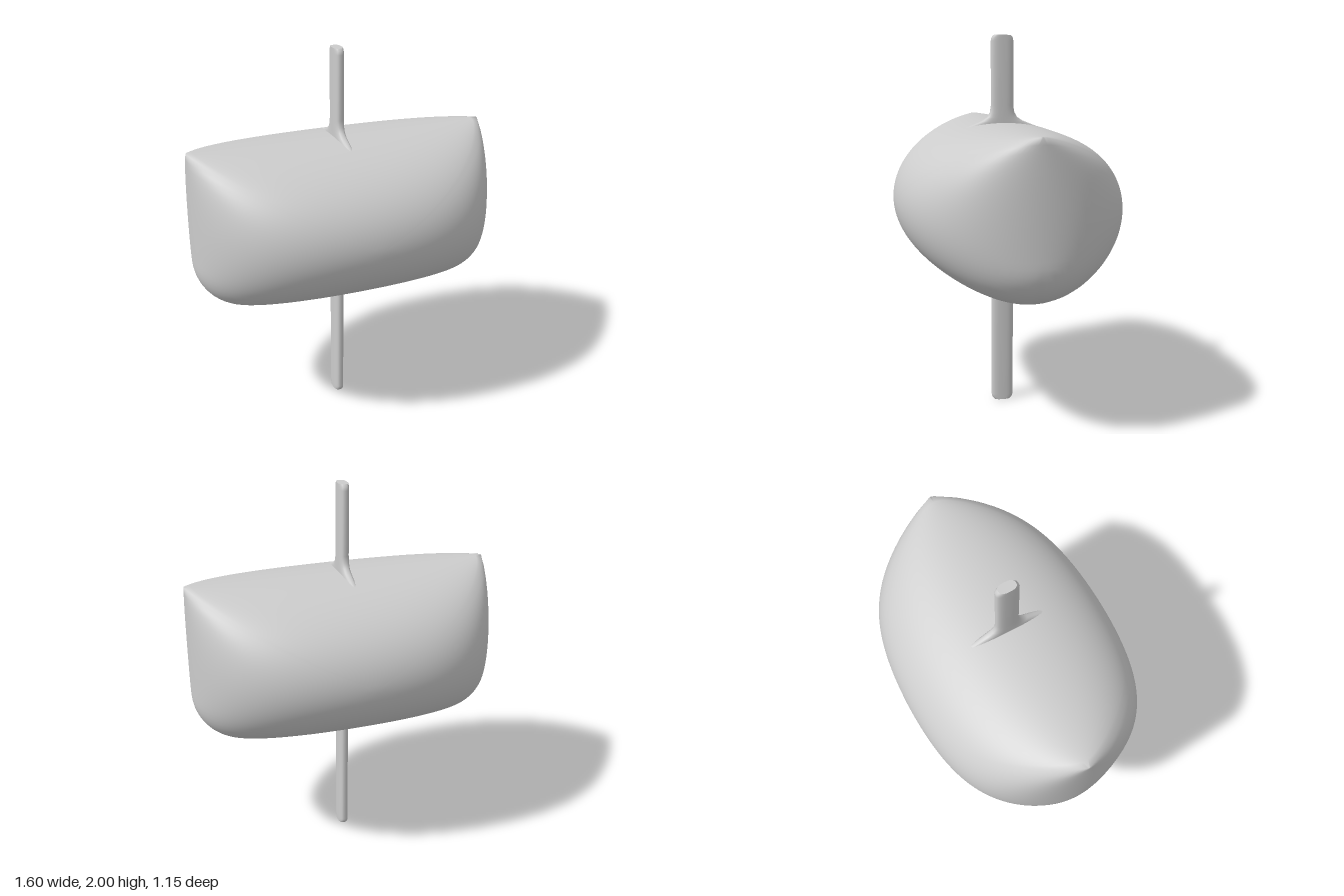
import * as THREE from 'three';

const TOP = 1.545, BOTTOM = 0.725, HALF_W = 0.802, CORNER = 0.215, DEPTH = 0.575;

// Counter-clockwise front outline: square top corners, rounded bottom corners
function outline() {
  const pts = [];
  const line = (x0, y0, x1, y1, n) => {
    for (let i = 0; i < n; i++) pts.push([x0 + (x1 - x0) * i / n, y0 + (y1 - y0) * i / n]);
  };
  const arc = (cx, cy, a0, n) => {
    for (let i = 0; i < n; i++) {
      const a = a0 + (Math.PI / 2) * i / n;
      pts.push([cx + CORNER * Math.cos(a), cy + CORNER * Math.sin(a)]);
    }
  };
  const ix = HALF_W - CORNER, iy = BOTTOM + CORNER;
  line(HALF_W, iy, HALF_W, TOP, 18);
  line(HALF_W, TOP, -HALF_W, TOP, 44);
  line(-HALF_W, TOP, -HALF_W, iy, 18);
  arc(-ix, iy, Math.PI, 10);
  line(-ix, BOTTOM, ix, BOTTOM, 32);
  arc(ix, iy, -Math.PI / 2, 10);
  return pts;
}

// Pillow body: the outline is inflated like a membrane under even pressure
function pillowGeometry() {
  const rim = outline(), M = rim.length, N = 30, cy = (TOP + BOTTOM) / 2;
  const p = [[0, cy]], tris = [];
  const id = (i, j) => (i === 0 ? 0 : 1 + (i - 1) * M + (j % M));
  for (let i = 1; i <= N; i++) {
    const r = Math.sin((Math.PI / 2) * i / N);
    for (const [x, y] of rim) p.push([x * r, cy + (y - cy) * r]);
  }
  for (let i = 0; i < N; i++) for (let j = 0; j < M; j++) {
    tris.push([id(i, j), id(i + 1, j), id(i + 1, j + 1)]);
    if (i > 0) tris.push([id(i, j), id(i + 1, j + 1), id(i, j + 1)]);
  }

  // Membrane weights between neighbouring points
  const inner = id(N, 0), load = new Float64Array(p.length), links = p.map(() => new Map());
  for (const t of tris) for (let k = 0; k < 3; k++) {
    const a = t[k], b = t[(k + 1) % 3], c = t[(k + 2) % 3];
    const ux = p[b][0] - p[a][0], uy = p[b][1] - p[a][1];
    const vx = p[c][0] - p[a][0], vy = p[c][1] - p[a][1];
    const cross = ux * vy - uy * vx, w = (ux * vx + uy * vy) / cross / 2;
    links[b].set(c, (links[b].get(c) || 0) + w);
    links[c].set(b, (links[c].get(b) || 0) + w);
    load[a] += cross / 6;
  }
  const rows = links.map((m) => [[...m.keys()], [...m.values()]]);
  const u = new Float64Array(p.length);
  for (let pass = 0; pass < 1200; pass++) for (let a = 0; a < inner; a++) {
    const [ks, ws] = rows[a];
    let sum = load[a], total = 0;
    for (let n = 0; n < ks.length; n++) { sum += ws[n] * u[ks[n]]; total += ws[n]; }
    u[a] += 1.85 * (sum / total - u[a]);
  }
  const peak = u.reduce((m, v) => Math.max(m, v), 0);

  // Front and back halves share the rim
  const pos = [], index = [];
  p.forEach(([x, y], a) => pos.push(x, y, DEPTH * Math.sqrt(Math.max(0, u[a] / peak))));
  for (let a = 0; a < inner; a++) pos.push(p[a][0], p[a][1], -pos[a * 3 + 2]);
  const back = (a) => (a < inner ? a + p.length : a);
  for (const [a, b, c] of tris) index.push(a, b, c, back(a), back(c), back(b));
  return finish(pos, index);
}

function finish(pos, index) {
  const g = new THREE.BufferGeometry();
  g.setAttribute('position', new THREE.Float32BufferAttribute(pos, 3));
  g.setIndex(index);
  g.computeVertexNormals();
  return g;
}

// Flat rod: oval sections [y, half depth] stacked upwards
function rodGeometry(sections) {
  const S = 28, pos = [], index = [], soft = (v) => Math.sign(v) * Math.abs(v) ** 0.75;
  const ring = (y, w) => {
    for (let j = 0; j < S; j++) {
      const a = (j / S) * Math.PI * 2;
      pos.push(0.026 * soft(Math.cos(a)), y, w * soft(Math.sin(a)));
    }
  };
  sections.forEach(([y, w]) => ring(y, w));
  const n = sections.length;
  for (let i = 0; i < n - 1; i++) for (let j = 0; j < S; j++) {
    const a = i * S + j, b = i * S + (j + 1) % S;
    index.push(a, a + S, b, b, a + S, b + S);
  }
  // End caps have their own rings so their edges stay sharp
  for (const [k, up] of [[0, false], [n - 1, true]]) {
    const [y, w] = sections[k], start = pos.length / 3;
    ring(y, w);
    for (let j = 1; j < S - 1; j++) {
      if (up) index.push(start, start + j + 1, start + j);
      else index.push(start, start + j, start + j + 1);
    }
  }
  return finish(pos, index);
}

export function createModel() {
  const group = new THREE.Group();
  const grey = new THREE.MeshStandardMaterial({ color: 0xcccccc });
  grey.name = 'light grey';
  const add = (name, geometry) => {
    const mesh = new THREE.Mesh(geometry, grey);
    mesh.name = name;
    group.add(mesh);
    return mesh;
  };

  add('pillowBody', pillowGeometry());

  // Rods flare into thin fins where they meet the body
  const flare = [[0.365, 0.25], [0.4, 0.16], [0.42, 0.11], [0.44, 0.08], [0.465, 0.066], [0.5, 0.06]];
  const tip = [[-0.03, 0.06], [-0.012, 0.056], [0, 0.045]];
  const mid = (TOP + BOTTOM) / 2;
  const upper = [...flare.map(([d, w]) => [mid + d, w]), ...tip.map(([d, w]) => [2 + d, w])];
  const lower = [...flare.map(([d, w]) => [mid - d, w]), ...tip.map(([d, w]) => [-d, w])].reverse();
  add('upperRod', rodGeometry(upper)).position.x = -0.014;
  add('lowerRod', rodGeometry(lower)).position.x = -0.014;
  return group;
}
